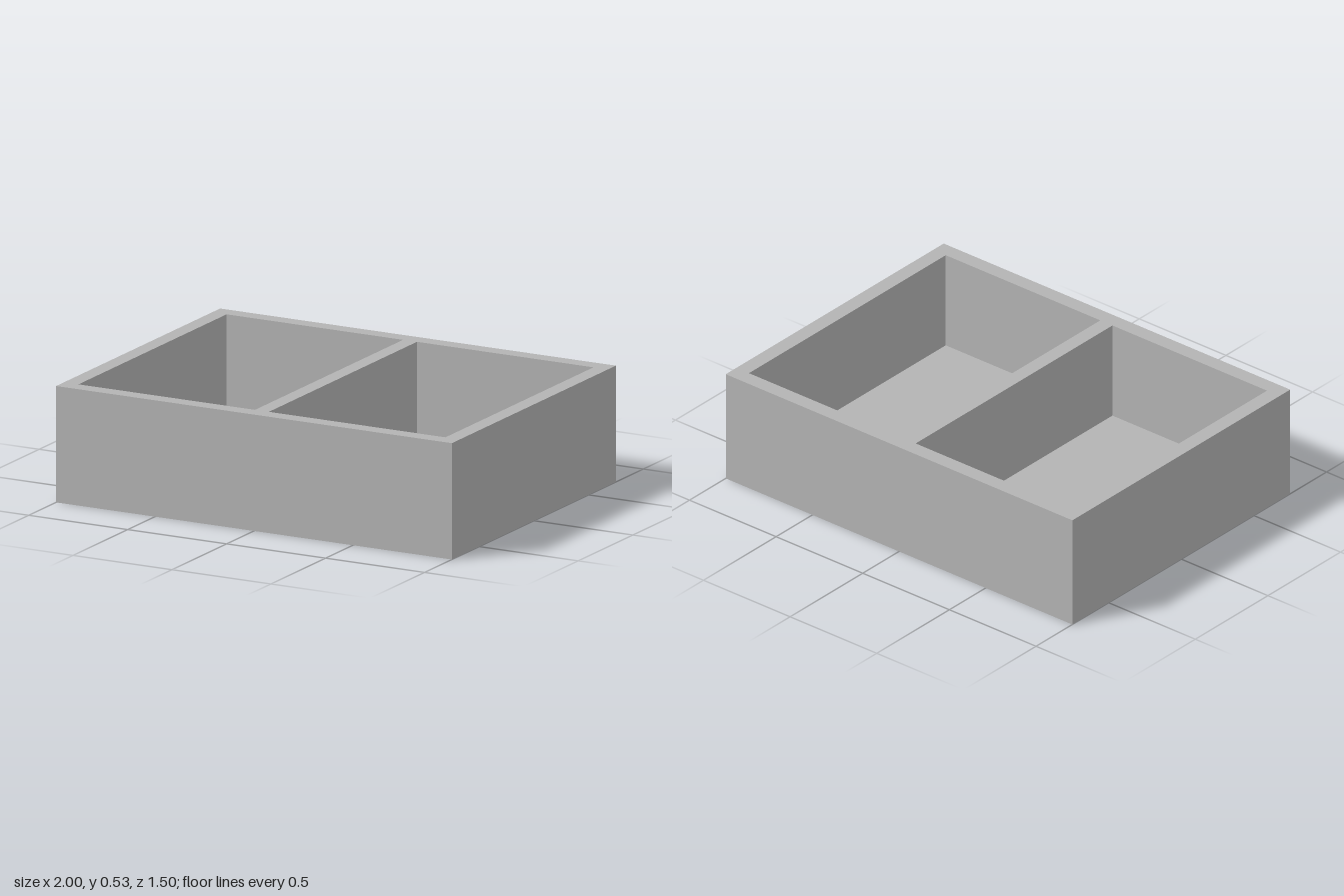
import * as THREE from 'three';

const WIDTH = 2, DEPTH = 1.5, HEIGHT = 0.533;
const WALL = 0.073, DIVIDER = 0.07, FLOOR = 0.072;

// Adds a rectangle to a shape or path
function rectangle(path, x0, y0, x1, y1) {
  path.moveTo(x0, y0);
  path.lineTo(x1, y0);
  path.lineTo(x1, y1);
  path.lineTo(x0, y1);
  path.closePath();
  return path;
}

export function createModel() {
  const group = new THREE.Group();
  group.name = 'dividedTray';
  const grey = new THREE.MeshStandardMaterial({ color: 0xb3b3b3 });
  grey.name = 'plain grey';

  // Floor slab shared by both compartments
  const floor = new THREE.Mesh(new THREE.BoxGeometry(WIDTH, FLOOR, DEPTH), grey);
  floor.name = 'floor';
  floor.position.y = FLOOR / 2;
  group.add(floor);

  // Outer walls and centre divider, with one opening on each side
  const outline = rectangle(new THREE.Shape(), -WIDTH / 2, -DEPTH / 2, WIDTH / 2, DEPTH / 2);
  const inner = DIVIDER / 2, outer = WIDTH / 2 - WALL, half = DEPTH / 2 - WALL;
  outline.holes.push(rectangle(new THREE.Path(), -outer, -half, -inner, half));
  outline.holes.push(rectangle(new THREE.Path(), inner, -half, outer, half));
  const geometry = new THREE.ExtrudeGeometry(outline, { depth: HEIGHT - FLOOR, bevelEnabled: false });
  geometry.rotateX(-Math.PI / 2);
  const walls = new THREE.Mesh(geometry, grey);
  walls.name = 'wallsAndDivider';
  walls.position.y = FLOOR;
  group.add(walls);

  return group;
}
